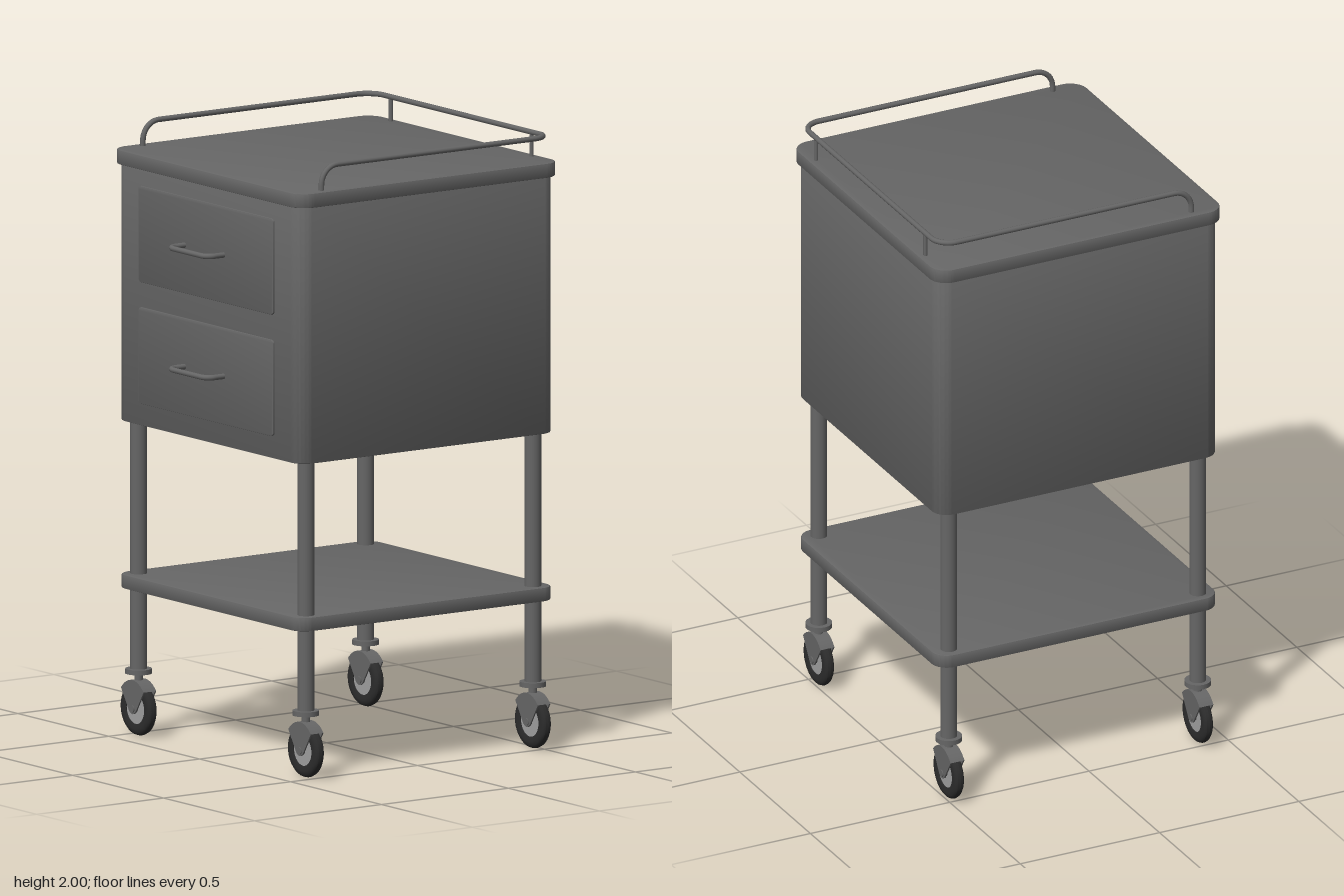
import * as THREE from 'three';
import { toCreasedNormals } from 'three/addons/utils/BufferGeometryUtils.js';

const V = (x, y, z) => new THREE.Vector3(x, y, z);
const CENTER_Z = -0.037;

export function createModel() {
  const root = new THREE.Group();
  const metal = new THREE.MeshStandardMaterial({ color: 0x666666 });
  const rubber = new THREE.MeshStandardMaterial({ color: 0x2c2c2c });
  const rimMat = new THREE.MeshStandardMaterial({ color: 0xa0a0a0 });

  const add = (parent, name, geo, mat, x = 0, y = 0, z = 0) => {
    const mesh = new THREE.Mesh(geo, mat);
    mesh.name = name;
    mesh.position.set(x, y, z);
    parent.add(mesh);
    return mesh;
  };

  // Rounded rectangle centred on the origin, extruded along z from 0 to depth
  const roundedPlate = (w, h, r, depth, bevel) => {
    const s = new THREE.Shape();
    const a = w / 2 - bevel, b = h / 2 - bevel, c = r - bevel;
    s.absarc(a - c, b - c, c, 0, Math.PI / 2);
    s.absarc(-a + c, b - c, c, Math.PI / 2, Math.PI);
    s.absarc(-a + c, -b + c, c, Math.PI, Math.PI * 1.5);
    s.absarc(a - c, -b + c, c, Math.PI * 1.5, Math.PI * 2);
    const geo = new THREE.ExtrudeGeometry(s, {
      depth: depth - 2 * bevel, curveSegments: 10,
      bevelEnabled: true, bevelSize: bevel, bevelThickness: bevel, bevelSegments: 2,
    });
    geo.translate(0, 0, bevel);
    return toCreasedNormals(geo, 0.6);
  };

  // Horizontal slab standing on y0
  const slab = (name, w, d, r, y0, y1) =>
    add(root, name, roundedPlate(w, d, r, y1 - y0, 0.004).rotateX(-Math.PI / 2), metal, 0, y0, CENTER_Z);

  // Round bar along a polyline with rounded corners
  const bentBar = (pts, bend, radius, segments) => {
    const path = new THREE.CurvePath();
    let from = pts[0];
    for (let i = 1; i < pts.length - 1; i++) {
      const p = pts[i];
      const inP = p.clone().add(pts[i - 1].clone().sub(p).setLength(bend));
      const outP = p.clone().add(pts[i + 1].clone().sub(p).setLength(bend));
      const k = 0.5523;
      path.add(new THREE.LineCurve3(from, inP));
      path.add(new THREE.CubicBezierCurve3(inP, inP.clone().lerp(p, k), outP.clone().lerp(p, k), outP));
      from = outP;
    }
    path.add(new THREE.LineCurve3(from, pts[pts.length - 1]));
    return new THREE.TubeGeometry(path, segments, radius, 10);
  };

  // Cabinet, worktop and lower shelf
  slab('cabinet', 1.02, 1.012, 0.055, 1.03, 1.868);
  slab('worktop', 1.046, 1.035, 0.06, 1.865, 1.912);
  slab('lowerShelf', 1.02, 1.012, 0.055, 0.485, 0.53);

  // Drawers with bent bar handles
  for (const y of [1.655, 1.26]) {
    const drawer = new THREE.Group();
    drawer.name = 'drawer';
    drawer.position.set(0, y, 0.469);
    add(drawer, 'drawerFront', roundedPlate(0.742, 0.314, 0.014, 0.008, 0.003), metal);
    const handle = bentBar([V(-0.115, 0, 0), V(-0.115, 0, 0.074), V(0.1, 0, 0.074), V(0.1, 0, 0)], 0.032, 0.009, 60);
    add(drawer, 'drawerHandle', handle, metal);
    root.add(drawer);
  }

  // Guard rail around the back and sides, with two back posts
  const railY = 1.991, railX = 0.491, railBack = -0.53, railFront = 0.372;
  add(root, 'guardRail', bentBar([
    V(-railX, 1.905, railFront), V(-railX, railY, railFront), V(-railX, railY, railBack),
    V(railX, railY, railBack), V(railX, railY, railFront), V(railX, 1.905, railFront),
  ], 0.062, 0.009, 260), metal);
  for (const x of [-0.387, 0.387])
    add(root, 'railPost', new THREE.CylinderGeometry(0.007, 0.007, 0.085, 10), metal, x, 1.949, railBack);

  // Shared caster geometry
  const tyreProfile = [
    [0.05, -0.014], [0.066, -0.017], [0.078, -0.015], [0.085, -0.009], [0.088, 0],
    [0.085, 0.009], [0.078, 0.015], [0.066, 0.017], [0.05, 0.014], [0.05, -0.014],
  ].map(([r, h]) => new THREE.Vector2(r, h));
  const tyre = toCreasedNormals(new THREE.LatheGeometry(tyreProfile, 36).rotateX(Math.PI / 2), 0.7);
  const disc = (r, depth) => new THREE.CylinderGeometry(r, r, depth, 28).rotateX(Math.PI / 2);

  // Fork cheek: domed top tapering down to the axle
  const cheekShape = new THREE.Shape();
  cheekShape.moveTo(-0.018, -0.008);
  cheekShape.lineTo(-0.062, 0.062);
  cheekShape.quadraticCurveTo(-0.035, 0.094, 0, 0.094);
  cheekShape.quadraticCurveTo(0.035, 0.094, 0.062, 0.062);
  cheekShape.lineTo(0.018, -0.008);
  cheekShape.quadraticCurveTo(0, -0.026, -0.018, -0.008);
  const cheek = toCreasedNormals(new THREE.ExtrudeGeometry(cheekShape, { depth: 0.005, bevelEnabled: false }), 0.6);

  // Crown: curved cover joining both cheeks over the tyre
  const crownShape = new THREE.Shape();
  crownShape.moveTo(-0.062, 0.062);
  crownShape.quadraticCurveTo(-0.035, 0.094, 0, 0.094);
  crownShape.quadraticCurveTo(0.035, 0.094, 0.062, 0.062);
  crownShape.quadraticCurveTo(0.035, 0.089, 0, 0.089);
  crownShape.quadraticCurveTo(-0.035, 0.089, -0.062, 0.062);
  const crown = toCreasedNormals(new THREE.ExtrudeGeometry(crownShape, { depth: 0.04, bevelEnabled: false }), 0.6);

  // Legs and casters
  for (const x of [-0.46, 0.46]) {
    for (const z of [0.411, -0.483]) {
      add(root, 'leg', new THREE.CylinderGeometry(0.027, 0.027, 0.83, 24), metal, x, 0.63, z);
      const caster = new THREE.Group();
      caster.name = 'caster';
      caster.position.set(x, 0.09, z);
      add(caster, 'collar', new THREE.CylinderGeometry(0.043, 0.043, 0.016, 24), metal, 0, 0.122, 0);
      add(caster, 'stem', new THREE.CylinderGeometry(0.014, 0.014, 0.036, 16), metal, 0, 0.102, 0);
      add(caster, 'tyre', tyre, rubber);
      add(caster, 'rim', disc(0.051, 0.022), rimMat);
      add(caster, 'axle', disc(0.012, 0.056), metal);
      add(caster, 'forkCrown', crown, metal, 0, 0, -0.02);
      add(caster, 'forkCheek', cheek, metal, 0, 0, 0.02);
      add(caster, 'forkCheek', cheek, metal, 0, 0, -0.025);
      root.add(caster);
    }
  }
  return root;
}
